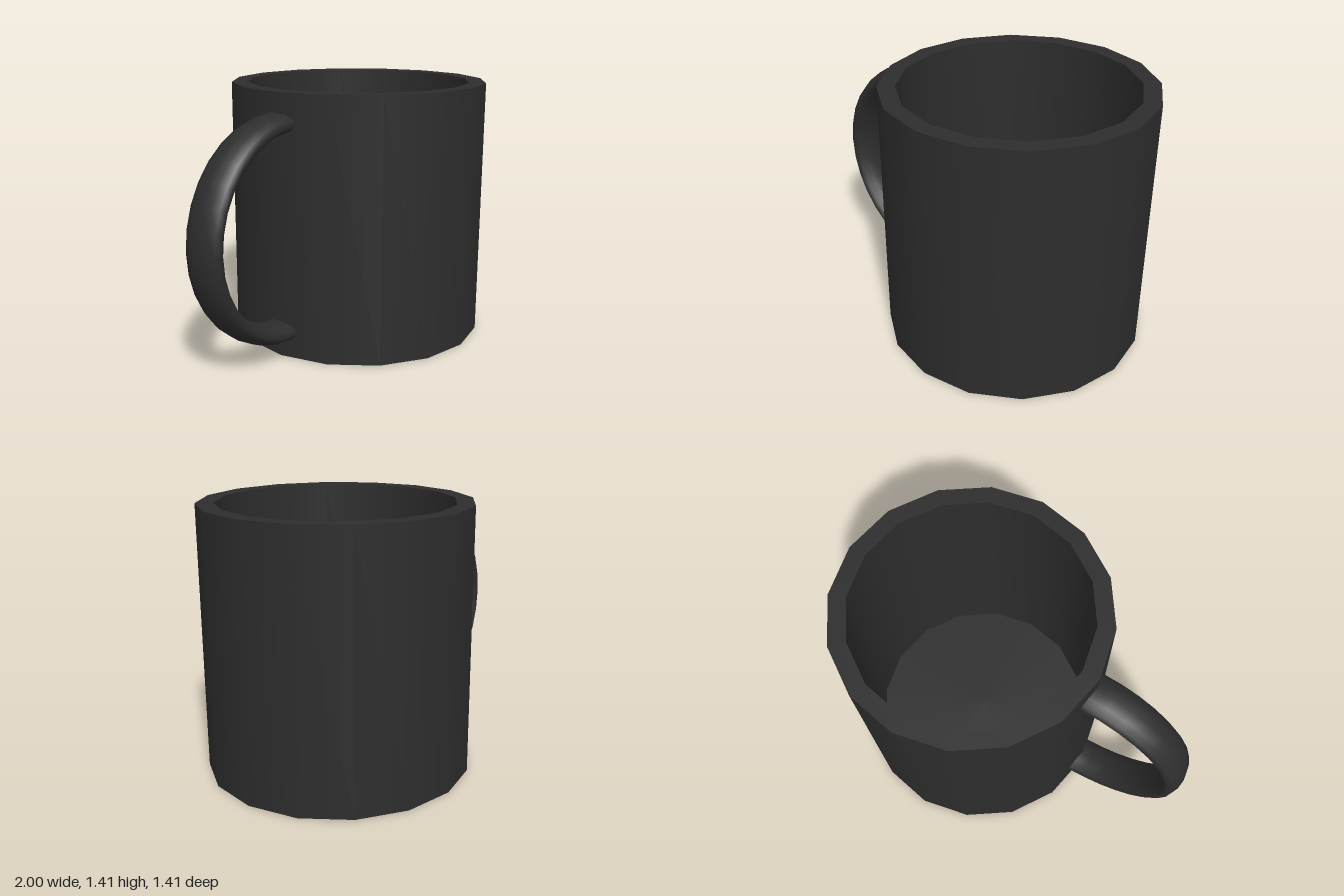
import * as THREE from 'three';

export function createModel() {
  const model = new THREE.Group();
  model.name = 'mug';
  const charcoal = new THREE.MeshStandardMaterial({ color: 0x2d2d2d });
  charcoal.name = 'charcoal';

  // Cup: each profile span is its own 16-sided lathe, so rims stay sharp and walls smooth
  const cup = new THREE.Group();
  cup.name = 'cup';
  cup.position.x = 0.293;
  const outer = 0.707, inner = 0.615, height = 1.415, floor = 0.09;
  const profile = [[0, 0], [outer, 0], [outer, height], [inner, height], [inner, floor], [0, floor]]
    .map(([r, y]) => new THREE.Vector2(r, y));
  ['base', 'outerWall', 'rim', 'innerWall', 'innerFloor'].forEach((name, i) => {
    const span = new THREE.Mesh(new THREE.LatheGeometry([profile[i], profile[i + 1]], 16), charcoal);
    span.name = name;
    cup.add(span);
  });
  model.add(cup);

  // Handle: half ring with an oval section, its ends buried in the wall
  const ring = new THREE.TorusGeometry(0.56, 0.055, 12, 16, Math.PI);
  ring.rotateZ(Math.PI / 2);
  ring.scale(1, 1, 2);
  const handle = new THREE.Mesh(ring, charcoal);
  handle.name = 'handle';
  handle.position.set(-0.385, 0.698, -0.015);
  model.add(handle);

  return model;
}
